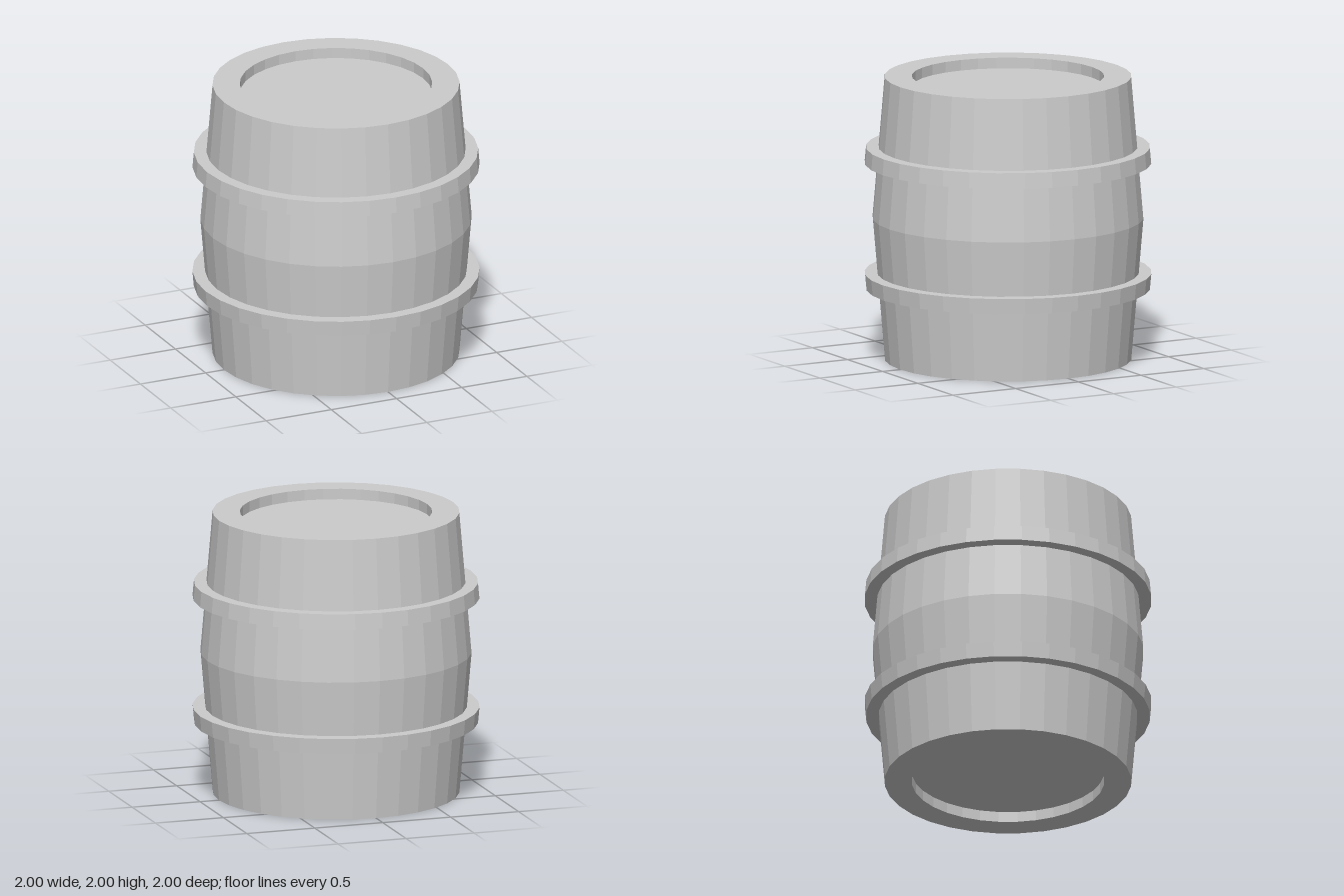
import * as THREE from 'three';

const SIDES = 32;

// Revolve a profile of [radius, height] pairs, listed from bottom to top on the outside.
function turned(name, profile, material) {
  const points = profile.map(([r, y]) => new THREE.Vector2(r, y));
  const mesh = new THREE.Mesh(new THREE.LatheGeometry(points, SIDES), material);
  mesh.name = name;
  return mesh;
}

export function createModel() {
  const group = new THREE.Group();
  group.name = 'barrel';
  const material = new THREE.MeshStandardMaterial({ color: 0xcccccc, flatShading: true });

  // Bulging body with a shallow recess in each end
  const rim = 0.86, belly = 0.945, recess = 0.67, depth = 0.075;
  group.add(turned('body', [
    [0, depth], [recess, depth], [recess, 0], [rim, 0],
    [belly, 1],
    [rim, 2], [recess, 2], [recess, 2 - depth], [0, 2 - depth],
  ], material));

  // Two hoops, tapering slightly away from the belly
  const inner = 0.88;
  group.add(turned('lowerHoop', [
    [inner, 0.5], [0.99, 0.5], [1, 0.61], [inner, 0.61],
  ], material));
  group.add(turned('upperHoop', [
    [inner, 1.39], [1, 1.39], [0.99, 1.5], [inner, 1.5],
  ], material));

  return group;
}
